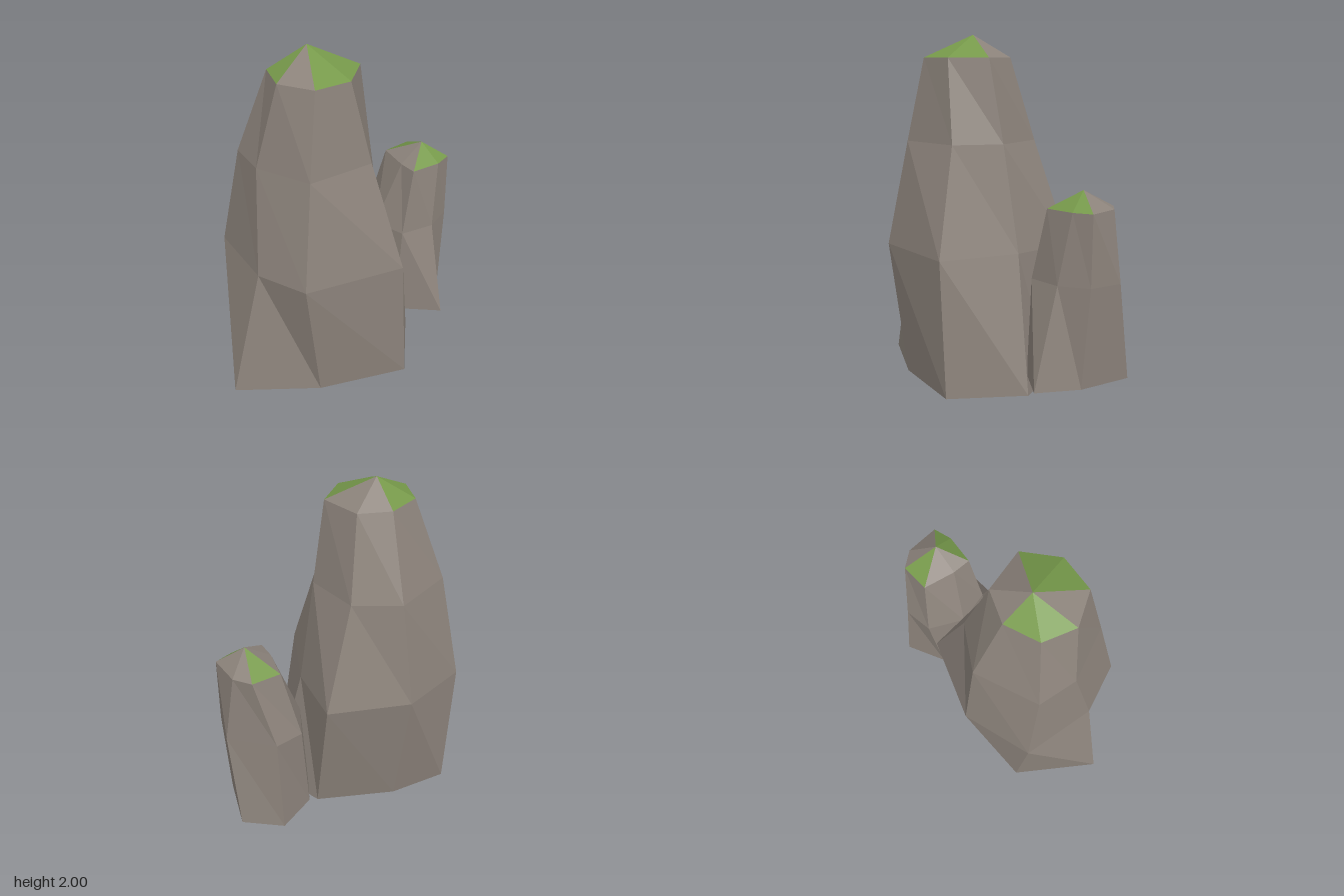
import * as THREE from 'three';

const stone = new THREE.MeshStandardMaterial({ color: 0x8c837b });
stone.name = 'stone';
const moss = new THREE.MeshStandardMaterial({ color: 0x76994a });
moss.name = 'moss';

// Flat-shaded mesh from a list of triangles (each triangle = three [x, y, z] points)
function facets(name, triangles, material) {
  const geometry = new THREE.BufferGeometry();
  geometry.setAttribute('position', new THREE.Float32BufferAttribute(triangles.flat(2), 3));
  geometry.computeVertexNormals();
  const mesh = new THREE.Mesh(geometry, material);
  mesh.name = name;
  return mesh;
}

// Rock pillar lofted through seven-sided rings, closed by a base and a low peak.
// levels: [y, [[x, z], ...]] from bottom to top; mossy: indices of green peak faces
function pillar(name, levels, apex, mossy) {
  const rings = levels.map(([y, pts]) => pts.map(([x, z]) => [x, y, z]));
  const n = rings[0].length;
  const top = rings[rings.length - 1];
  const sides = [], base = [], bare = [], green = [];

  for (let i = 0; i < n; i++) {
    const j = (i + 1) % n;
    for (let r = 0; r < rings.length - 1; r++) {
      const lo = rings[r], hi = rings[r + 1];
      sides.push([lo[i], lo[j], hi[i]], [hi[i], lo[j], hi[j]]);
    }
    (mossy.includes(i) ? green : bare).push([top[i], top[j], apex]);
    if (i > 0 && i < n - 1) base.push([rings[0][0], rings[0][j], rings[0][i]]);
  }

  const group = new THREE.Group();
  group.name = name;
  group.add(
    facets(name + 'Sides', sides, stone),
    facets(name + 'Base', base, stone),
    facets(name + 'BarePeak', bare, stone),
    facets(name + 'MossPeak', green, moss)
  );
  return group;
}

export function createModel() {
  const model = new THREE.Group();
  model.name = 'mossyRocks';

  // Tall rock
  model.add(pillar('tallRock', [
    [0, [[-0.245, 0.8], [0.18, 0.53], [0.535, 0.135], [0.335, -0.28], [-0.03, -0.3], [-0.37, 0.04], [-0.525, 0.36]]],
    [0.775, [[-0.145, 0.645], [0.17, 0.65], [0.515, 0.175], [0.185, -0.17], [-0.165, -0.365], [-0.495, 0], [-0.535, 0.43]]],
    [1.39, [[-0.2, 0.535], [0.135, 0.53], [0.305, 0.18], [0.155, -0.07], [-0.17, -0.15], [-0.4, 0.02], [-0.405, 0.415]]],
    [1.87, [[-0.1, 0.46], [0.11, 0.43], [0.21, 0.24], [0.14, 0.02], [-0.11, -0.02], [-0.245, 0.12], [-0.25, 0.33]]],
  ], [-0.08, 2, 0.2], [1, 2, 5, 6]));

  // Short rock behind it, set slightly higher
  model.add(pillar('shortRock', [
    [0.1, [[0.095, -0.24], [0.27, -0.25], [0.535, -0.375], [0.4, -0.6], [0.14, -0.8], [-0.08, -0.675], [-0.06, -0.415]]],
    [0.665, [[0.08, -0.31], [0.285, -0.28], [0.4, -0.46], [0.4, -0.645], [0.24, -0.77], [-0.03, -0.65], [-0.07, -0.48]]],
    [1.065, [[0.195, -0.415], [0.3, -0.37], [0.385, -0.535], [0.395, -0.65], [0.205, -0.72], [0.09, -0.69], [0.03, -0.525]]],
  ], [0.255, 1.17, -0.56], [1, 2, 5]));

  return model;
}
